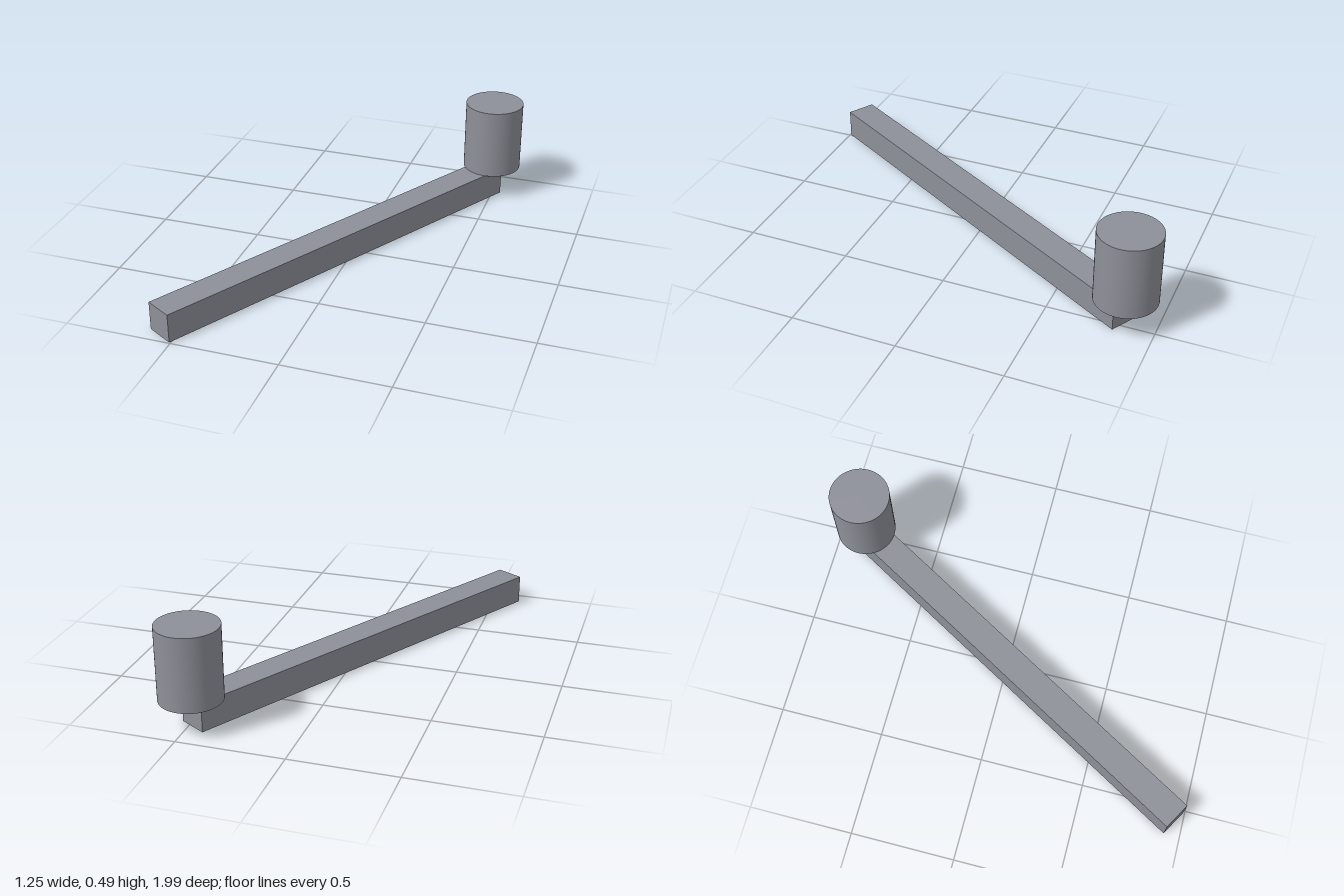
import * as THREE from 'three';

export function createModel() {
  const group = new THREE.Group();
  const grey = new THREE.MeshStandardMaterial({ color: 0x8e9099 });
  grey.name = 'grey metal';

  const thickness = 0.14, length = 2.095, angle = -Math.PI / 6;
  const pivot = new THREE.Vector3(0.48, 0, -0.855); // far end of the arm, under the knob

  // square arm, running from the pivot towards the front right
  const arm = new THREE.Mesh(new THREE.BoxGeometry(thickness, thickness, length), grey);
  arm.name = 'arm';
  arm.rotation.y = angle;
  arm.position.set(
    pivot.x + Math.sin(angle) * length / 2,
    thickness / 2,
    pivot.z + Math.cos(angle) * length / 2
  );
  group.add(arm);

  // upright round knob standing on the end of the arm
  const height = 0.35;
  const knob = new THREE.Mesh(new THREE.CylinderGeometry(0.145, 0.145, height, 64), grey);
  knob.name = 'knob';
  knob.position.set(pivot.x, thickness + height / 2, pivot.z);
  group.add(knob);

  return group;
}
